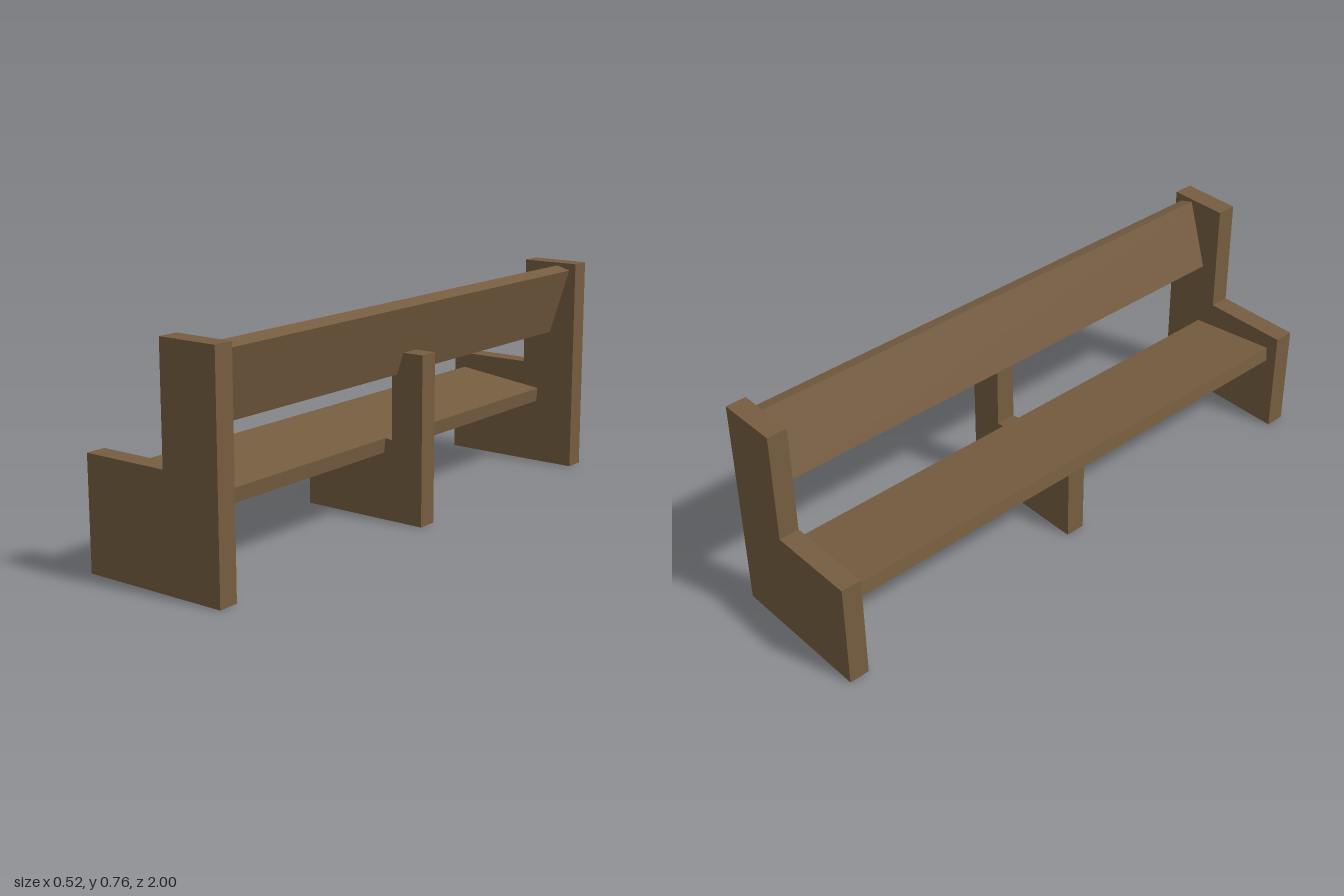
import * as THREE from 'three';

// Extrude an x-y outline along z, centred on z
function slab(name, points, thickness, z, material) {
  const shape = new THREE.Shape(points.map(([x, y]) => new THREE.Vector2(x, y)));
  const geometry = new THREE.ExtrudeGeometry(shape, { depth: thickness, bevelEnabled: false });
  geometry.translate(0, 0, z - thickness / 2);
  const mesh = new THREE.Mesh(geometry, material);
  mesh.name = name;
  return mesh;
}

export function createModel() {
  const bench = new THREE.Group();
  bench.name = 'bench';
  const wood = new THREE.MeshStandardMaterial({ color: 0x765d40 });
  wood.name = 'brown wood';

  const panelThickness = 0.07;
  const boardLength = 2 - 2 * panelThickness;

  // L-shaped end panels
  const endOutline = [
    [-0.26, 0], [0.26, 0], [0.26, 0.76], [0.05, 0.76], [0.05, 0.375], [-0.26, 0.375],
  ];
  for (const side of [1, -1]) {
    bench.add(slab(side > 0 ? 'leftEndPanel' : 'rightEndPanel', endOutline,
      panelThickness, side * (1 - panelThickness / 2), wood));
  }

  // Seat board, sloping down toward the backrest
  bench.add(slab('seat', [
    [-0.222, 0.27], [0.108, 0.23], [0.114, 0.28], [-0.216, 0.32],
  ], boardLength, 0, wood));

  // Reclined backrest board
  bench.add(slab('backrest', [
    [0.11, 0.515], [0.16, 0.5], [0.235, 0.735], [0.185, 0.75],
  ], boardLength, 0, wood));

  // Middle support, cut to fit under the seat and behind the backrest
  bench.add(slab('middleSupport', [
    [-0.21, 0], [0.26, 0], [0.26, 0.575], [0.184, 0.575], [0.16, 0.5], [0.14, 0.506],
    [0.14, 0.277], [0.114, 0.28], [0.108, 0.23], [-0.21, 0.2685],
  ], panelThickness, -0.008, wood));

  return bench;
}
